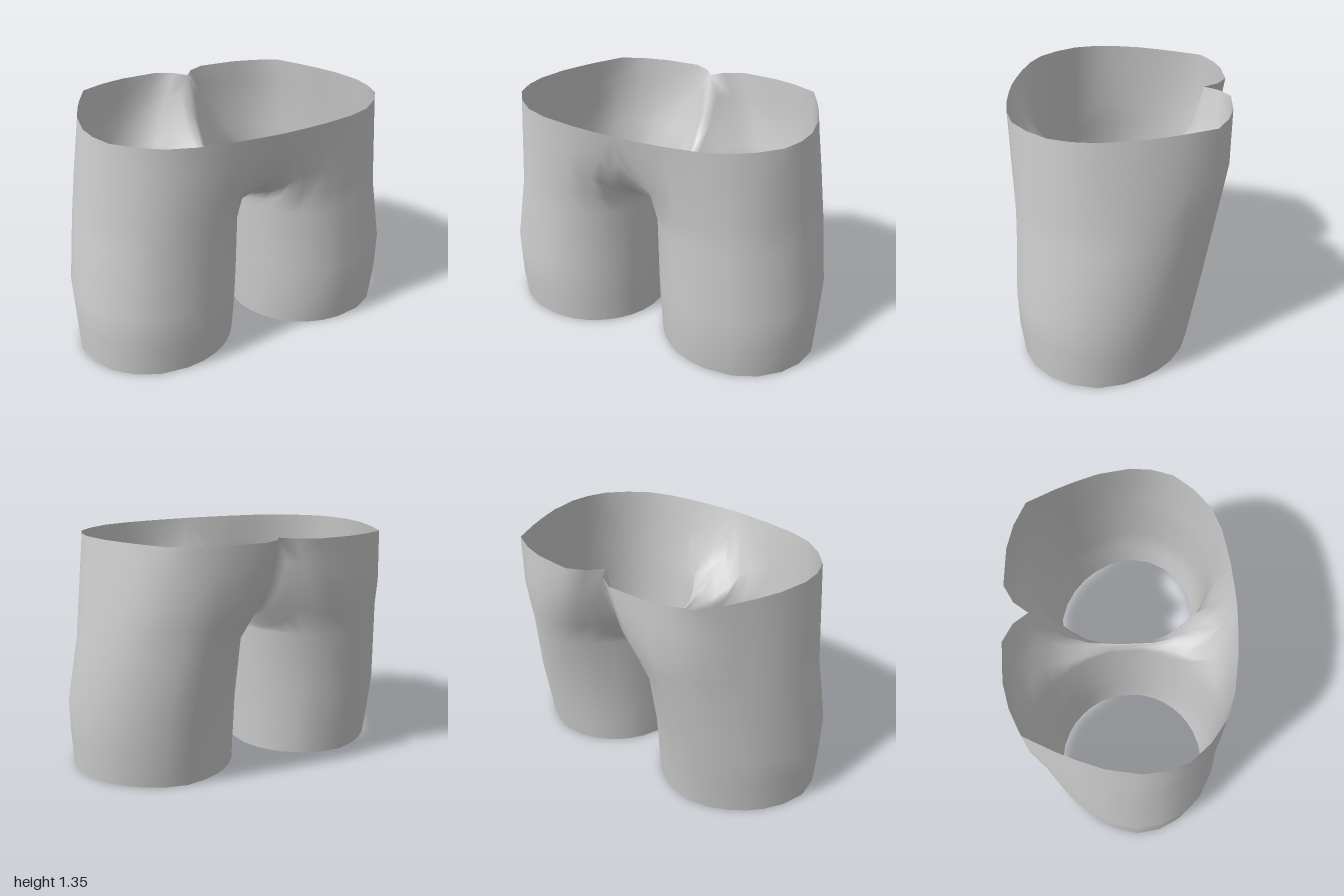
import * as THREE from 'three';
import { mergeVertices } from 'three/addons/utils/BufferGeometryUtils.js';

// Leg cross-sections: height, inner x, outer x, back z, front z, hollow of the inner back
const RINGS = [
  [0.01, 0.048, 0.985, -0.395, 0.525, 0],
  [0.2, 0.038, 0.995, -0.43, 0.552, 0.02],
  [0.4, 0.026, 1.0, -0.467, 0.56, 0.05],
  [0.78, 0.004, 0.94, -0.54, 0.55, 0.08],
];

// Upper border of one leg: angle around the leg, then x, y, z.
// It follows the waist outside and the crotch seam (x = 0) inside.
// A second x, y, z is a bend the cloth passes through below the border.
const W = 1.357;
const BORDER = [
  [0, 0.46, W, 0.568], [20, 0.6, W, 0.52], [38, 0.72, W, 0.43], [56, 0.815, W, 0.32],
  [72, 0.855, W, 0.2], [90, 0.865, W, 0.08], [108, 0.835, W, -0.1], [124, 0.785, W, -0.24],
  [136, 0.74, W, -0.345], [150, 0.66, W, -0.505], [165, 0.52, W, -0.57], [180, 0.38, W, -0.605],
  // seat and back seam
  [195, 0.16, W, -0.615, 0.27, 1.08, -0.59], [207, 0.06, W, -0.56, 0.17, 1.08, -0.545],
  [215, 0, W, -0.48, 0.1, 1.1, -0.485], [225, 0, 1.13, -0.42, 0.08, 0.97, -0.41],
  [235, 0, 0.97, -0.31], [246, 0, 0.885, -0.18],
  // crotch and front panel
  [260, 0, 0.86, 0], [278, 0, 0.87, 0.19],
  [290, 0, 0.93, 0.32, 0.05, 0.87, 0.28], [300, 0, 1.0, 0.45, 0.09, 0.9, 0.36],
  [309, 0, 1.07, 0.545, 0.14, 0.95, 0.43], [318, 0, 1.2, 0.575, 0.16, 1.02, 0.51],
  [327, 0, W, 0.615, 0.2, 1.05, 0.537], [336, 0.12, W, 0.61, 0.28, 1.06, 0.545],
  [347, 0.28, W, 0.597],
];

// One column of points from the hem up to the border
function column([deg, x, y, z, ...bend]) {
  const a = THREE.MathUtils.degToRad(deg);
  const s = Math.sin(a), c = Math.cos(a);
  const rear = 2 * Math.max(0, -c) * Math.abs(s);
  const shift = 0.02 * Math.max(0, s);
  const points = RINGS.map(([h, x0, x1, z0, z1, hollow]) => {
    // the back corners of the leg are a little flatter than an ellipse
    const r = 1 - rear * (s > 0 ? 0.05 : hollow);
    return new THREE.Vector3(
      (x0 + x1) / 2 + r * (x1 - x0) / 2 * s, h, (z0 + z1) / 2 + r * (z1 - z0) / 2 * c + shift);
  });
  const start = points[points.length - 1];
  const end = new THREE.Vector3(x, y, z);
  const middle = start.clone().lerp(end, 0.5);
  if (bend.length) middle.fromArray(bend);
  else if (x > 0) middle.z -= 0.025 * Math.max(0, -c); // the seat swells a little
  points.push(start.clone().lerp(middle, 0.5), middle, middle.clone().lerp(end, 0.5), end);
  return points;
}

export function createModel() {
  const group = new THREE.Group();
  group.name = 'shorts';
  const cloth = new THREE.MeshStandardMaterial({ color: 0xcccccc, side: THREE.DoubleSide });
  cloth.name = 'grey cloth';

  // Both legs in one surface, so the shading runs across the centre seam
  const columns = BORDER.map(column);
  const n = columns.length, rows = columns[0].length;
  const position = [], index = [];
  for (const side of [1, -1]) {
    const base = position.length / 3;
    for (const c of columns) for (const p of c) position.push(side * p.x, p.y, p.z);
    for (let i = 0; i < n; i++) {
      for (let j = 0; j < rows - 1; j++) {
        const a = base + i * rows + j, b = base + ((i + 1) % n) * rows + j;
        if (side > 0) index.push(a, b, b + 1, a, b + 1, a + 1);
        else index.push(a, b + 1, b, a, a + 1, b + 1);
      }
    }
  }
  let geometry = new THREE.BufferGeometry();
  geometry.setAttribute('position', new THREE.Float32BufferAttribute(position, 3));
  geometry.setIndex(index);
  geometry = mergeVertices(geometry, 1e-4);
  geometry.computeVertexNormals();

  const mesh = new THREE.Mesh(geometry, cloth);
  mesh.name = 'shortsFabric';
  group.add(mesh);
  return group;
}
